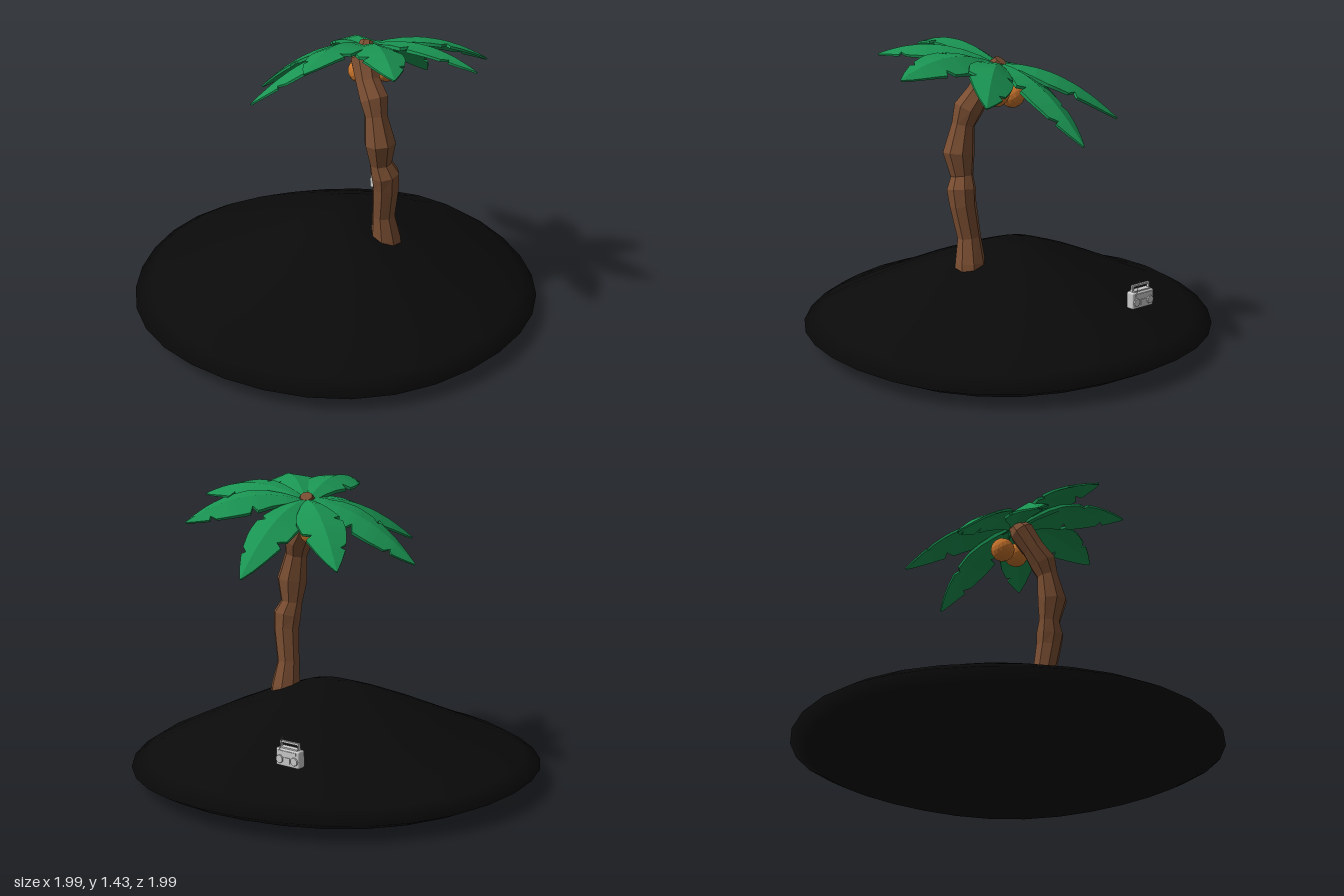
import * as THREE from 'three';
import { mergeVertices } from 'three/addons/utils/BufferGeometryUtils.js';
import { RoundedBoxGeometry } from 'three/addons/geometries/RoundedBoxGeometry.js';

const V = (x, y, z) => new THREE.Vector3(x, y, z);
const UP = V(0, 1, 0);
const paint = (color, flatShading = true) => new THREE.MeshStandardMaterial({ color, flatShading });

function add(parent, name, geometry, material, x = 0, y = 0, z = 0) {
  const mesh = new THREE.Mesh(geometry, material);
  mesh.name = name;
  mesh.position.set(x, y, z);
  parent.add(mesh);
  return mesh;
}

// Skin a list of equal-sized rings and close both ends
function loft(rings) {
  const n = rings[0].length, last = (rings.length - 1) * n, index = [];
  for (let i = 0; i < rings.length - 1; i++) {
    for (let j = 0; j < n; j++) {
      const a = i * n + j, b = i * n + (j + 1) % n;
      index.push(a, b, b + n, a, b + n, a + n);
    }
  }
  for (let k = 1; k < n - 1; k++) {
    index.push(0, k + 1, k, last, last + k, last + k + 1);
  }
  const geo = new THREE.BufferGeometry().setFromPoints(rings.flat());
  geo.setIndex(index);
  geo.computeVertexNormals();
  return geo;
}

// Sand mound: a lathe with gentle lumps and an uneven rim
function islandGeometry() {
  const profile = [[0, 0], [0.3, 0.01], [0.6, 0.02], [0.92, 0.04], [1, 0.08], [0.92, 0.13], [0.8, 0.185],
    [0.6, 0.275], [0.4, 0.36], [0.2, 0.43], [0.1, 0.455], [0, 0.465]];
  let geo = new THREE.LatheGeometry(profile.map(p => new THREE.Vector2(...p)), 32);
  geo.deleteAttribute('uv');
  geo.deleteAttribute('normal');
  geo = mergeVertices(geo, 1e-4);
  const pos = geo.attributes.position;
  for (let i = 0; i < pos.count; i++) {
    const x = pos.getX(i), y = pos.getY(i), z = pos.getZ(i);
    const r = Math.hypot(x, z), a = Math.atan2(z, x);
    const k = 1 - 0.006 * r * (1 + Math.sin(5 * a + 1)) / 2;
    const lump = y > 0.06 ? 0.06 * r * (1.05 - r) * (Math.cos(a) * 0.5 - Math.sin(a) + 0.6 * Math.sin(3 * a)) : 0;
    const rim = r > 0.9 ? 0.008 * Math.sin(4 * a + 2) - 0.008 * Math.cos(a) : 0;
    pos.setXYZ(i, x * k, y + lump + rim, z * k);
  }
  geo.computeVertexNormals();
  return geo;
}

// Leaning trunk: eight-sided rings alternating pinched and swollen [x, y, z, radius]
function trunkGeometry() {
  const path = [[0.27, 0.33, -0.065, 0.08], [0.27, 0.41, -0.06, 0.073], [0.265, 0.53, -0.045, 0.056],
    [0.288, 0.69, -0.03, 0.064], [0.29, 0.76, -0.02, 0.07], [0.275, 0.82, -0.005, 0.054],
    [0.282, 0.93, 0.01, 0.076], [0.255, 1.06, 0.01, 0.055], [0.235, 1.13, 0, 0.07],
    [0.185, 1.2, -0.015, 0.06], [0.135, 1.29, -0.045, 0.066], [0.112, 1.36, -0.09, 0.03]];
  const rings = path.map(([x, y, z, r], i) => {
    const p = path[Math.max(i - 1, 0)], q = path[Math.min(i + 1, path.length - 1)];
    const dir = V(q[0] - p[0], q[1] - p[1], q[2] - p[2]).normalize();
    const side = dir.clone().cross(V(0, 0, 1)).normalize();
    const nrm = side.clone().cross(dir);
    return Array.from({ length: 8 }, (_, j) => {
      const a = (j + 0.5) * Math.PI / 4;
      return V(x, y, z).addScaledVector(side, -r * Math.cos(a)).addScaledVector(nrm, r * Math.sin(a));
    });
  });
  return loft(rings);
}

// Arched frond with a ridged middle and torn notches: [t, left half-width, right half-width]
const OUTLINE = [[0, 0.025, 0.025], [0.14, 0.055, 0.05], [0.28, 0.09, 0.075], [0.4, 0.108, 0.098],
  [0.44, 0.108, 0.065], [0.47, 0.107, 0.106], [0.58, 0.102, 0.104], [0.63, 0.064, 0.1], [0.66, 0.094, 0.096],
  [0.76, 0.076, 0.08], [0.8, 0.068, 0.048], [0.82, 0.063, 0.068], [0.92, 0.035, 0.036], [1, 0.003, 0.003]];
const CROWN = V(0.11, 1.345, -0.09);

function frondGeometry(tip, flip) {
  const flat = V(tip.x - CROWN.x, 0, tip.z - CROWN.z).normalize();
  const base = CROWN.clone().addScaledVector(flat, 0.02);
  const bend = base.clone().lerp(tip, 0.5).addScaledVector(UP, 0.13);
  const curve = new THREE.QuadraticBezierCurve3(base, bend, tip);
  // Sideways direction follows the tilt of the crown
  const side = flat.clone().cross(UP);
  side.y = 0.26 * side.x + 0.32 * side.z;
  side.normalize();
  return loft(OUTLINE.map(([t, a, b]) => {
    const [l, r] = flip ? [b, a] : [a, b];
    const dir = curve.getTangent(t);
    const nrm = side.clone().cross(dir).normalize();
    const at = (s, h) => curve.getPoint(t).addScaledVector(side, s).addScaledVector(nrm, h);
    const d = 0.28, h = 0.02 * (1 - 0.6 * t);
    return [at(-l, -l * d), at(0, 0), at(r, -r * d), at(r, -r * d - h), at(0, -h), at(-l, -l * d - h)];
  }));
}

// Small portable radio facing the back
function makeRadio() {
  const radio = new THREE.Group();
  radio.name = 'radio';
  const grey = paint(0xcccccc);
  add(radio, 'radioBody', new RoundedBoxGeometry(0.13, 0.08, 0.045, 2, 0.008), grey, 0, 0.04, 0);
  add(radio, 'radioTopPanel', new THREE.BoxGeometry(0.1, 0.008, 0.03), grey, 0, 0.082, 0);
  add(radio, 'handleBar', new THREE.BoxGeometry(0.106, 0.009, 0.012), grey, 0, 0.107, 0);
  add(radio, 'tapeDoor', new THREE.BoxGeometry(0.036, 0.026, 0.006), grey, 0, 0.03, -0.023);
  add(radio, 'tuningPanel', new THREE.BoxGeometry(0.1, 0.012, 0.006), grey, 0, 0.066, -0.023);
  for (const s of [-1, 1]) {
    add(radio, 'handlePost', new THREE.BoxGeometry(0.008, 0.03, 0.012), grey, s * 0.049, 0.093, 0);
    const speaker = add(radio, 'speaker', new THREE.CylinderGeometry(0.018, 0.02, 0.008, 12), grey, s * 0.041, 0.032, -0.024);
    speaker.rotation.x = -Math.PI / 2;
  }
  const aerial = add(radio, 'aerial', new THREE.CylinderGeometry(0.0015, 0.0015, 0.07, 6), grey, 0.035, 0.1, -0.022);
  aerial.rotation.z = 0.25;
  radio.position.set(-0.255, 0.25, -0.673);
  return radio;
}

export function createModel() {
  const model = new THREE.Group();
  model.name = 'palmIsland';
  add(model, 'island', islandGeometry(), paint(0x0a0a0a, false));
  add(model, 'trunk', trunkGeometry(), paint(0x7a4e32));

  // Fronds by tip position
  const fronds = new THREE.Group();
  fronds.name = 'fronds';
  const leaf = paint(0x1a9452);
  [[0.06, 1.045, -0.63], [0.5, 1.25, -0.51], [0.695, 1.34, -0.15], [0.555, 1.39, 0.26],
    [0.21, 1.385, 0.45], [-0.155, 1.13, 0.415], [-0.385, 1.06, 0.1], [-0.32, 1.09, -0.42]]
    .forEach((p, i) => add(fronds, 'frond', frondGeometry(V(...p), i % 2 === 1), leaf));
  model.add(fronds);

  // Coconuts under the crown
  const nut = paint(0xc8742c);
  for (const p of [[0.06, 1.195, -0.11], [0.18, 1.22, -0.15]]) {
    add(model, 'coconut', new THREE.IcosahedronGeometry(0.06, 2), nut, ...p);
  }

  model.add(makeRadio());
  return model;
}
